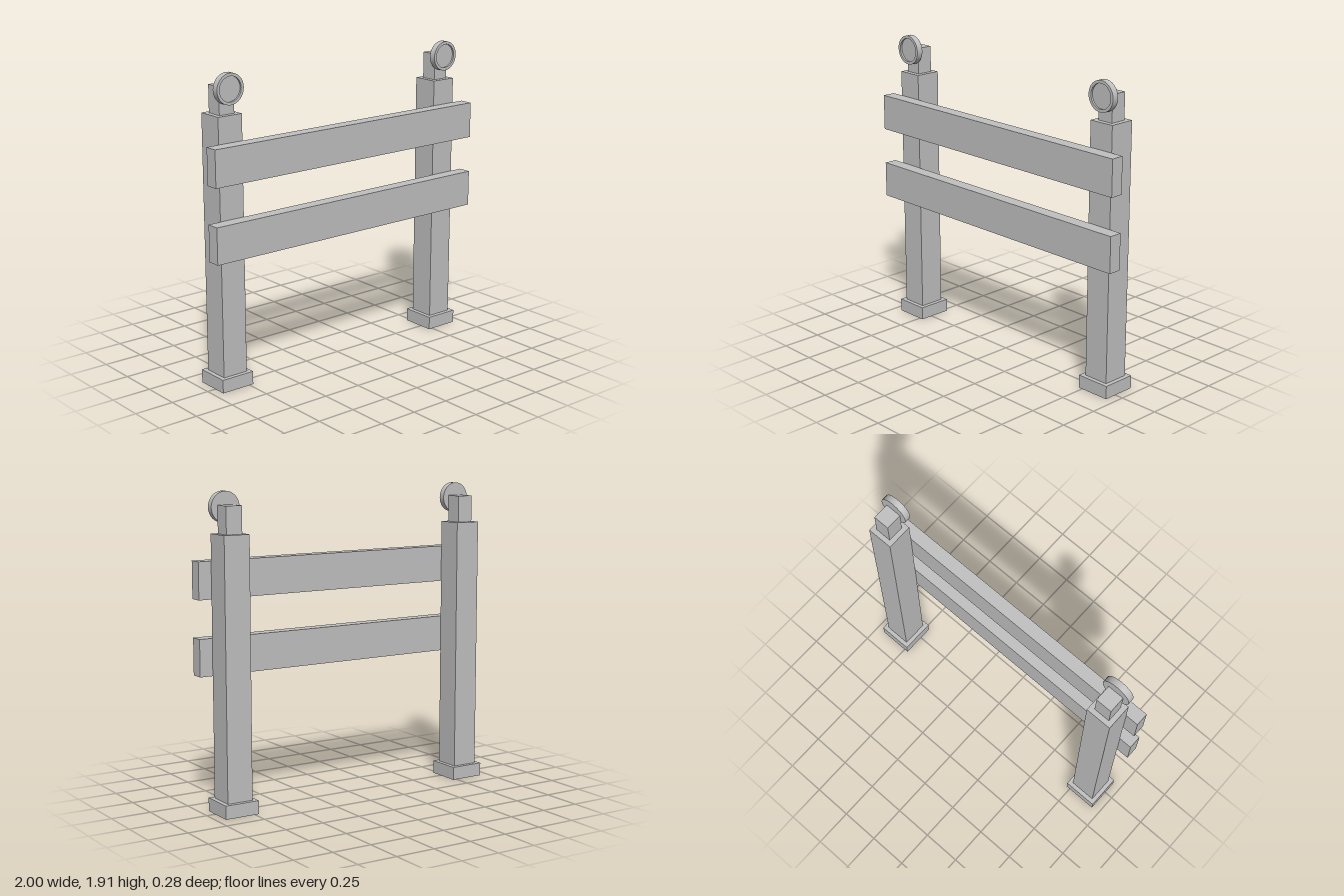
import * as THREE from 'three';
import { toCreasedNormals } from 'three/addons/utils/BufferGeometryUtils.js';

const POST_X = 0.834;
const POST_Z = -0.028;

export function createModel() {
  const model = new THREE.Group();
  model.name = 'barrier';
  const grey = new THREE.MeshStandardMaterial({ color: 0xc0c0c0 });
  grey.name = 'grey';

  // Box standing on a given height
  function addBox(parent, name, w, h, d, y, z) {
    const mesh = new THREE.Mesh(new THREE.BoxGeometry(w, h, d), grey);
    mesh.name = name;
    mesh.position.set(0, y + h / 2, z);
    parent.add(mesh);
  }

  // Round lamp with a raised rim and a shallow recessed lens
  const profile = [[0, 0], [0.093, 0], [0.093, 0.041], [0.075, 0.041], [0.075, 0.029], [0, 0.029]]
    .map(([r, y]) => new THREE.Vector2(r, y));
  const lampGeometry = toCreasedNormals(new THREE.LatheGeometry(profile, 32), 0.6);
  lampGeometry.rotateX(Math.PI / 2);

  // Two posts, each with foot, lamp mount and lamp
  for (const side of [-1, 1]) {
    const post = new THREE.Group();
    post.name = side > 0 ? 'leftPost' : 'rightPost';
    post.position.x = side * POST_X;
    addBox(post, 'foot', 0.22, 0.083, 0.22, 0, POST_Z);
    addBox(post, 'upright', 0.166, 1.584, 0.166, 0.083, POST_Z);
    addBox(post, 'lampMount', 0.104, 0.166, 0.104, 1.667, POST_Z);
    const lamp = new THREE.Mesh(lampGeometry, grey);
    lamp.name = 'lamp';
    lamp.position.set(0, 1.82, 0.024);
    post.add(lamp);
    model.add(post);
  }

  // Two boards across the front of the posts
  addBox(model, 'lowerBoard', 2, 0.226, 0.083, 0.825, 0.097);
  addBox(model, 'upperBoard', 2, 0.226, 0.083, 1.281, 0.097);

  return model;
}
